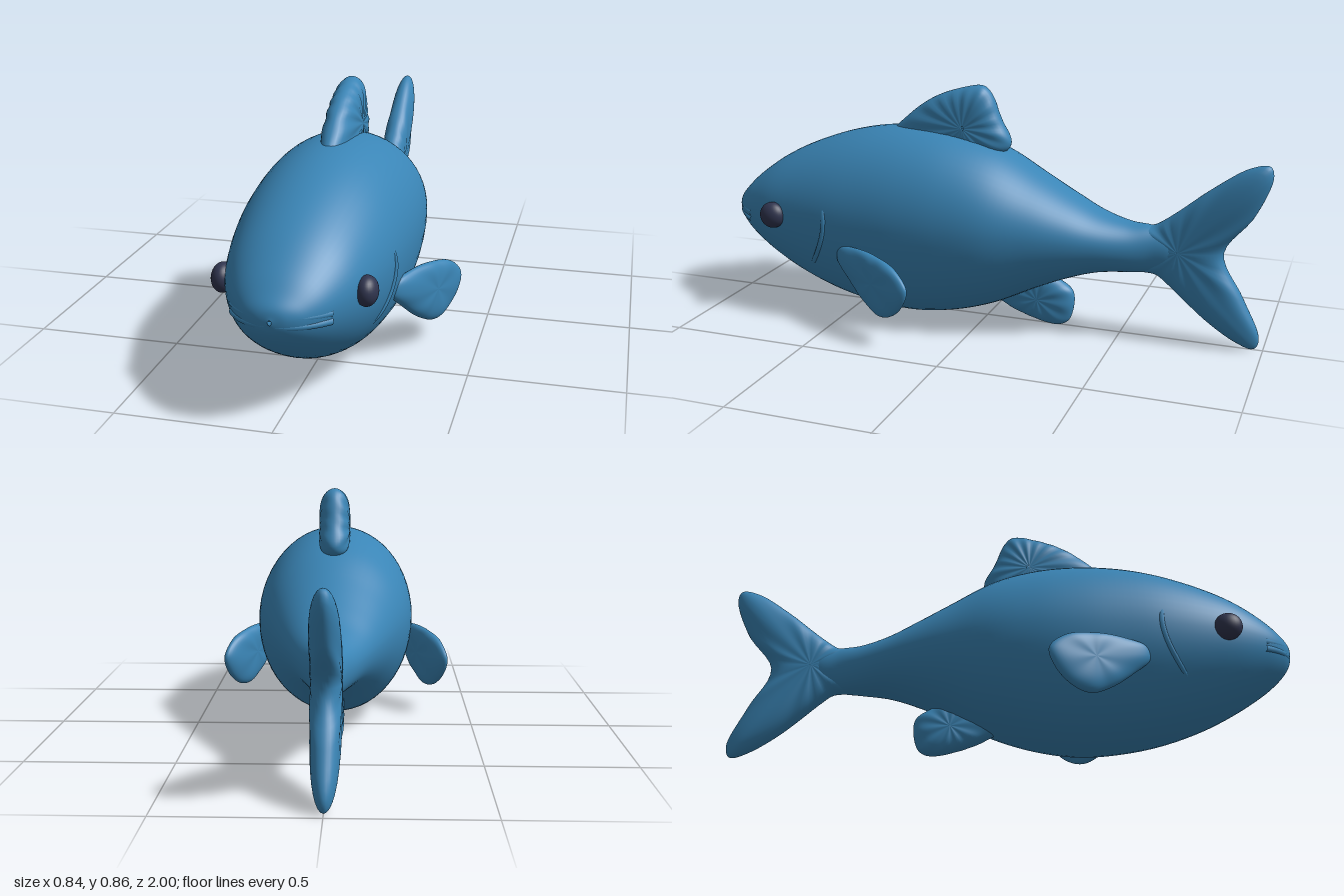
import * as THREE from 'three';

const blue = new THREE.MeshStandardMaterial({ color: 0x3a85b6 });
blue.name = 'fish blue';
const dark = new THREE.MeshStandardMaterial({ color: 0x30354f });
dark.name = 'eye dark';

// Body stations from nose to tail root: z, top, bottom, half width
const STATIONS = [
  [1.0, 0.36, 0.345, 0.006], [0.99, 0.392, 0.312, 0.052], [0.96, 0.425, 0.272, 0.1],
  [0.9, 0.48, 0.22, 0.152], [0.8, 0.55, 0.155, 0.205], [0.68, 0.61, 0.093, 0.24],
  [0.54, 0.66, 0.043, 0.266], [0.4, 0.69, 0.014, 0.279], [0.25, 0.699, 0.004, 0.286],
  [0.1, 0.685, 0.025, 0.281], [-0.05, 0.642, 0.072, 0.26], [-0.2, 0.56, 0.145, 0.213],
  [-0.32, 0.495, 0.195, 0.17], [-0.42, 0.446, 0.226, 0.13], [-0.52, 0.418, 0.237, 0.09],
  [-0.6, 0.412, 0.244, 0.062], [-0.68, 0.395, 0.265, 0.045], [-0.74, 0.34, 0.33, 0.005],
];
const heights = new THREE.CatmullRomCurve3(
  STATIONS.map(([z, top, bottom]) => new THREE.Vector3(z, top, bottom)), false, 'catmullrom');
const widths = new THREE.CatmullRomCurve3(
  STATIONS.map(([z, , , w]) => new THREE.Vector3(z, w, 0)), false, 'catmullrom');

function section(t) {
  const h = heights.getPoint(t), w = widths.getPoint(t).y;
  return { z: h.x, top: h.y, bottom: h.z, w, mid: (h.y + h.z) / 2 + 0.08 * w };
}

// Half width of the body at a given z and y
function bodyX(z, y) {
  let lo = 0, hi = 1;
  for (let i = 0; i < 30; i++) {
    const t = (lo + hi) / 2;
    if (heights.getPoint(t).x > z) lo = t; else hi = t;
  }
  const s = section(lo);
  const k = y > s.mid ? (y - s.mid) / (s.top - s.mid) : (s.mid - y) / (s.mid - s.bottom);
  return s.w * Math.sqrt(Math.max(0, 1 - k * k));
}

// Smooth skin through closed rings of points
function loft(rings) {
  const n = rings[0].length, index = [];
  for (let i = 0; i < rings.length - 1; i++) {
    for (let j = 0; j < n; j++) {
      const a = i * n + j, b = i * n + (j + 1) % n;
      index.push(a, a + n, b, b, a + n, b + n);
    }
  }
  const geometry = new THREE.BufferGeometry().setFromPoints(rings.flat());
  geometry.setIndex(index);
  geometry.computeVertexNormals();
  return geometry;
}

function bodyGeometry() {
  const rings = [];
  for (let i = 0; i <= 100; i++) {
    const s = section(i / 100), ring = [];
    for (let j = 0; j < 56; j++) {
      const a = j / 56 * Math.PI * 2, sin = Math.sin(a);
      ring.push(new THREE.Vector3(s.w * Math.cos(a),
        s.mid + sin * (sin > 0 ? s.top - s.mid : s.mid - s.bottom), s.z));
    }
    rings.push(ring);
  }
  return loft(rings);
}

// Pillow-shaped fin from a [z, y] outline; offset(z) moves it sideways
function finGeometry(outline, [cz, cy], half, rays = 0, offset = () => 0) {
  const curve = new THREE.CatmullRomCurve3(
    outline.map(([z, y]) => new THREE.Vector3(z, y, 0)), true, 'centripetal');
  const edge = curve.getPoints(96).slice(0, -1);
  if (THREE.ShapeUtils.area(edge) > 0) edge.reverse();
  const rings = [], N = 24;
  for (let i = 0; i <= N; i++) {
    const a = i / N * Math.PI, s = Math.sin(a);
    const thick = Math.sign(Math.cos(a)) * half * Math.sqrt(Math.max(0, 1 - s ** 4));
    rings.push(edge.map((p) => {
      const ripple = 1 + 0.07 * s * Math.sin(rays * Math.atan2(p.y - cy, p.x - cz));
      const z = cz + (p.x - cz) * s;
      return new THREE.Vector3(thick * ripple + offset(z), cy + (p.y - cy) * s, z);
    }));
  }
  return loft(rings);
}

const TAIL = [[-0.55, 0.40], [-0.61, 0.415], [-0.67, 0.455], [-0.8, 0.56], [-0.92, 0.64],
  [-0.985, 0.652], [-0.998, 0.615], [-0.945, 0.475], [-0.85, 0.335], [-0.925, 0.18],
  [-0.985, 0.045], [-0.97, 0.006], [-0.91, 0.022], [-0.8, 0.09], [-0.7, 0.175],
  [-0.62, 0.237], [-0.55, 0.25]];
const DORSAL = [[0.37, 0.66], [0.3, 0.74], [0.2, 0.81], [0.09, 0.85], [0.02, 0.86],
  [-0.012, 0.835], [-0.05, 0.745], [-0.088, 0.665], [-0.075, 0.635], [0, 0.61],
  [0.15, 0.6], [0.32, 0.62]];
const ANAL = [[-0.02, 0.1], [-0.08, 0.057], [-0.17, 0.022], [-0.27, 0.004], [-0.31, 0.022],
  [-0.33, 0.085], [-0.325, 0.135], [-0.29, 0.165], [-0.2, 0.2], [-0.08, 0.16]];
const PECTORAL = [[0.485, 0.25], [0.475, 0.29], [0.4, 0.307], [0.3, 0.305], [0.2, 0.278],
  [0.145, 0.22], [0.17, 0.15], [0.225, 0.102], [0.28, 0.09], [0.345, 0.12], [0.43, 0.19]];

export function createModel() {
  const group = new THREE.Group();
  const add = (name, geometry, material = blue) => {
    const mesh = new THREE.Mesh(geometry, material);
    mesh.name = name;
    group.add(mesh);
    return mesh;
  };
  const tube = (name, points, radius) => add(name,
    new THREE.TubeGeometry(new THREE.CatmullRomCurve3(points), 40, radius, 8));

  add('body', bodyGeometry());
  add('tailFin', finGeometry(TAIL, [-0.7, 0.335], 0.048, 14));
  add('dorsalFin', finGeometry(DORSAL, [0.08, 0.71], 0.054, 16));
  add('analFin', finGeometry(ANAL, [-0.2, 0.1], 0.04, 10));

  // Lips wrap around the snout
  for (const [name, y] of [['upperLip', 0.364], ['lowerLip', 0.338]]) {
    const points = [];
    for (let i = -6; i <= 6; i++) {
      const x = i / 6 * 0.15, k = Math.abs(i / 6);
      points.push(new THREE.Vector3(x, y - 0.012 * k * k, 0.985 - 0.1 * k ** 2.2));
    }
    tube(name, points, 0.013);
  }

  for (const [side, sign] of [['left', 1], ['right', -1]]) {
    add(side + 'PectoralFin',
      finGeometry(PECTORAL, [0.3, 0.21], 0.03, 6, (z) => sign * (0.25 + (0.48 - z) * 0.48)));

    const eye = add(side + 'Eye', new THREE.SphereGeometry(0.048, 28, 20), dark);
    eye.scale.x = 0.75;
    eye.position.set(sign * 0.226, 0.375, 0.755);

    // Curved rim of the gill cover
    const rim = [];
    for (let i = 0; i <= 8; i++) {
      const k = i / 8, y = 0.44 - 0.25 * k;
      const z = 0.515 + 0.1 * k * k + 0.02 * (1 - k) ** 4;
      const sink = 0.003 + 0.012 * Math.abs(2 * k - 1) ** 4;
      rim.push(new THREE.Vector3(sign * (bodyX(z, y) - sink), y, z));
    }
    tube(side + 'GillRim', rim, 0.01);
  }
  return group;
}
